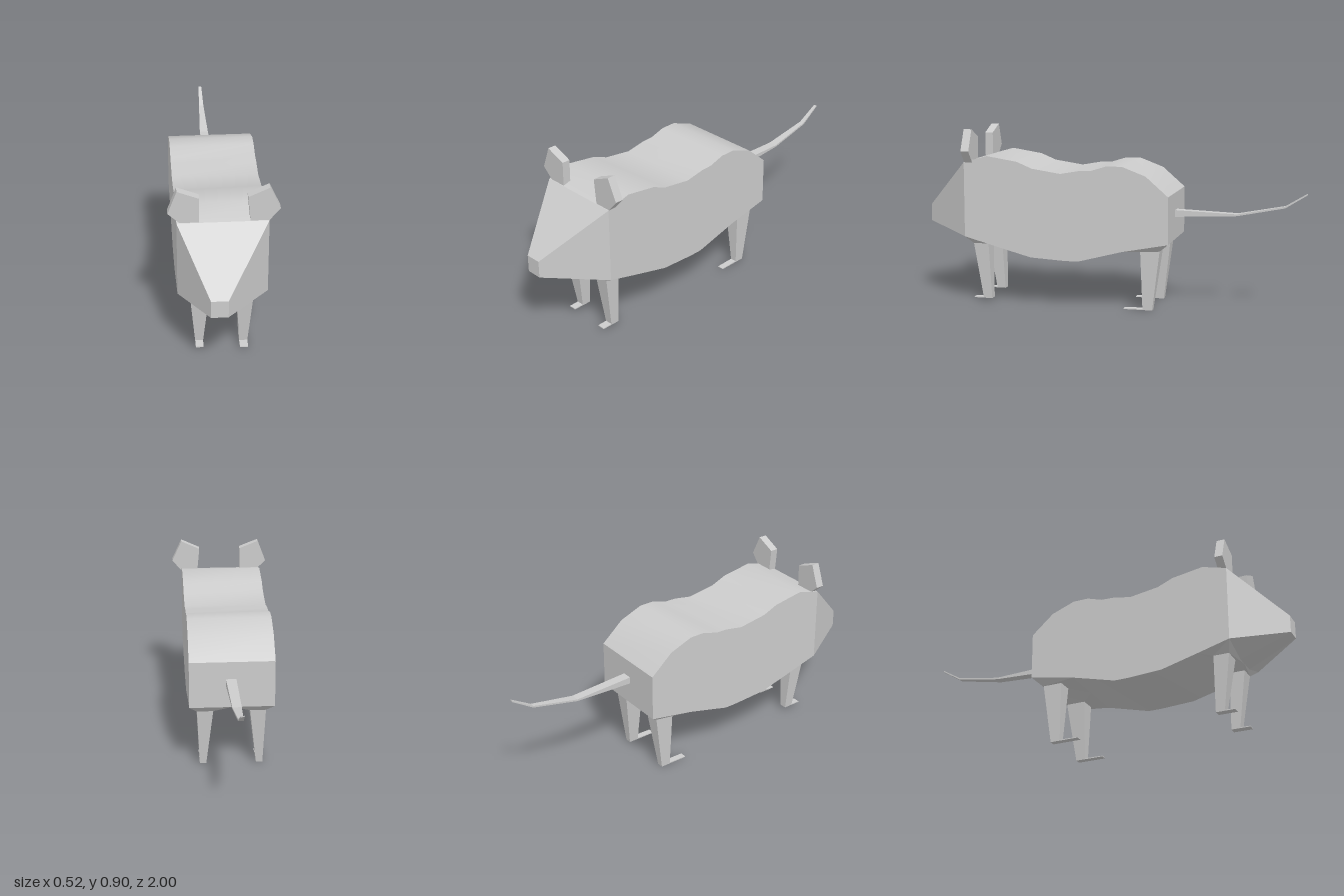
import * as THREE from 'three';
import { toCreasedNormals } from 'three/addons/utils/BufferGeometryUtils.js';
import { ConvexGeometry } from 'three/addons/geometries/ConvexGeometry.js';

const material = new THREE.MeshStandardMaterial({ color: 0xcccccc, side: THREE.DoubleSide });
const LEFT = 0.207, RIGHT = -0.22; // flanks

const v = (x, y, z) => new THREE.Vector3(x, y, z);

// Flat-faced solid through four-cornered rings, capped at both ends, wound outwards
function loft(rings) {
  const tris = [];
  const quad = (a, b, c, d) => tris.push([a, b, c], [a, c, d]);
  for (let i = 0; i < rings.length - 1; i++) {
    for (let j = 0; j < 4; j++) {
      const k = (j + 1) % 4;
      quad(rings[i][j], rings[i][k], rings[i + 1][k], rings[i + 1][j]);
    }
  }
  quad(...[...rings[0]].reverse());
  quad(...rings[rings.length - 1]);
  let volume = 0;
  for (const [a, b, c] of tris) volume += a.dot(b.clone().cross(c));
  if (volume < 0) tris.forEach((t) => t.reverse());
  const geometry = new THREE.BufferGeometry().setFromPoints(tris.flat());
  geometry.computeVertexNormals();
  return geometry;
}

// Rectangular rings: level (constant y) and upright (constant z)
const level = (x0, x1, y, z0, z1) => [v(x0, y, z0), v(x1, y, z0), v(x1, y, z1), v(x0, y, z1)];
const upright = (x0, x1, y0, y1, z) => [v(x0, y0, z), v(x1, y0, z), v(x1, y1, z), v(x0, y1, z)];

export function createModel() {
  const model = new THREE.Group();
  const add = (name, geometry, parent = model) => {
    const mesh = new THREE.Mesh(geometry, material);
    mesh.name = name;
    parent.add(mesh);
    return mesh;
  };

  // Body: side outline (z, y) extruded across the width
  const outline = [
    [0.735, 0.735], [0.61, 0.77], [0.45, 0.745], [0.37, 0.712], [0.22, 0.69], [0.12, 0.708],
    [0.06, 0.71], [-0.02, 0.735], [-0.1, 0.735], [-0.22, 0.69], [-0.335, 0.59],
    [-0.335, 0.35], [-0.1, 0.305], [0.13, 0.245], [0.2, 0.245], [0.38, 0.255], [0.57, 0.305], [0.735, 0.35],
  ];
  const side = new THREE.Shape(outline.map(([z, y]) => new THREE.Vector2(-z, y)));
  const body = new THREE.ExtrudeGeometry(side, { depth: LEFT - RIGHT, bevelEnabled: false });
  body.rotateY(Math.PI / 2).translate(RIGHT, 0, 0);
  add('body', toCreasedNormals(body, 0.65));

  // Head: wedge narrowing to a small square nose
  add('head', new ConvexGeometry([
    ...upright(-0.08, 0, 0.392, 0.48, 1),
    ...upright(RIGHT, LEFT, 0.35, 0.735, 0.735),
    v(-0.07, 0.305, 0.735), v(0.063, 0.305, 0.735),
  ]));

  // Ears: five-sided plates
  const ears = {
    rightEar: [[-0.205, 0.735], [-0.117, 0.735], [-0.115, 0.86], [-0.217, 0.9], [-0.26, 0.786]],
    leftEar: [[0.12, 0.735], [0.207, 0.735], [0.258, 0.796], [0.207, 0.905], [0.108, 0.86]],
  };
  for (const [name, points] of Object.entries(ears)) {
    const shape = new THREE.Shape(points.map(([x, y]) => new THREE.Vector2(x, y)));
    add(name, new THREE.ExtrudeGeometry(shape, { depth: 0.042, bevelEnabled: false }).translate(0, 0, 0.69));
  }

  // Legs: hip tapering from the belly, straight shin, thin foot pointing forwards
  const legs = [
    { name: 'frontRightLeg', flank: RIGHT, front: true, top: [-0.16, -0.07], bottom: [-0.135, -0.097], y: 0.02 },
    { name: 'frontLeftLeg', flank: LEFT, front: true, top: [0.063, 0.143], bottom: [0.08, 0.12], y: 0.01 },
    { name: 'backRightLeg', flank: RIGHT, front: false, top: [-0.18, -0.1], bottom: [-0.168, -0.135], y: 0 },
    { name: 'backLeftLeg', flank: LEFT, front: false, top: [0.085, 0.167], bottom: [0.12, 0.153], y: 0 },
  ];
  for (const { name, flank, front, top, bottom, y } of legs) {
    const leg = new THREE.Group();
    leg.name = name;
    model.add(leg);
    const mid = -0.008;
    const hip = front
      ? [v(flank, 0.305, 0.57), v(mid, 0.275, 0.57), v(mid, 0.305, 0.735), v(flank, 0.35, 0.735)]
      : [v(flank, 0.35, -0.335), v(mid, 0.35, -0.335), v(mid, 0.305, -0.1), v(flank, 0.305, -0.1)];
    // Keep every ring running from the outer edge to the inner edge
    const [t0, t1] = flank < 0 ? top : [top[1], top[0]];
    const [b0, b1] = flank < 0 ? bottom : [bottom[1], bottom[0]];
    const knee = front ? level(t0, t1, 0.305, 0.63, 0.71) : level(t0, t1, 0.308, -0.285, -0.185);
    const ankle = front ? level(b0, b1, y, 0.622, 0.668) : level(b0, b1, y, -0.245, -0.195);
    add('hip', loft([hip, knee]), leg);
    add('shin', loft([knee, ankle]), leg);
    const heel = ankle[2].z, toe = heel + (front ? 0.052 : 0.1);
    add('foot', loft([
      upright(bottom[0], bottom[1], y, y + 0.006, heel - 0.01),
      upright(bottom[0], bottom[1], y, y + 0.004, toe),
    ]), leg);
  }

  // Tail: thin tapering strip curling upwards
  add('tail', loft([
    upright(-0.027, 0.025, 0.465, 0.5, -0.33),
    upright(-0.03, 0.015, 0.479, 0.488, -0.65),
    upright(-0.02, 0.005, 0.526, 0.535, -0.89),
    upright(-0.016, 0, 0.595, 0.602, -1),
  ]));

  return model;
}
